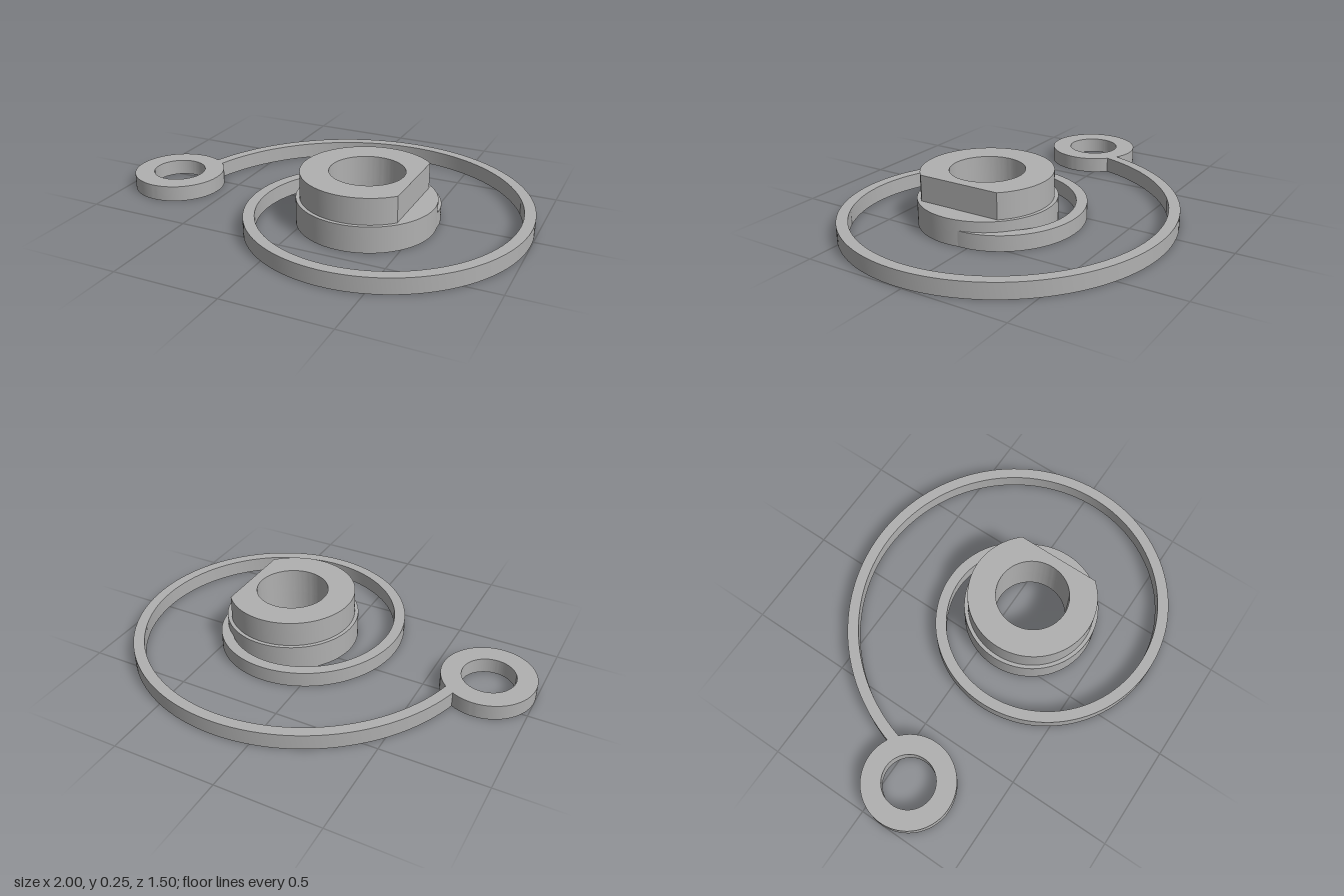
import * as THREE from 'three';
import { toCreasedNormals } from 'three/addons/utils/BufferGeometryUtils.js';

const HUB = { x: 0.25, z: 0.108 };
const ARM_HEIGHT = 0.075;

export function createModel() {
  const model = new THREE.Group();
  model.name = 'spiralSpring';
  const grey = new THREE.MeshStandardMaterial({ color: 0xb0b0b0 });
  grey.name = 'plain grey';

  // Extrudes a plan outline upwards, from height y
  function addPlate(name, shape, height, x, y, z) {
    const geometry = new THREE.ExtrudeGeometry(shape, { depth: height, bevelEnabled: false, curveSegments: 72 });
    geometry.rotateX(-Math.PI / 2);
    const mesh = new THREE.Mesh(toCreasedNormals(geometry, Math.PI / 6), grey);
    mesh.name = name;
    mesh.position.set(x, y, z);
    model.add(mesh);
  }

  // Round plate with a bore; flatAngle cuts a flat on the +x side
  function ringShape(radius, bore, flatAngle = 0) {
    const shape = new THREE.Shape();
    shape.absarc(0, 0, radius, flatAngle, Math.PI * 2 - flatAngle, false);
    shape.closePath();
    shape.holes.push(new THREE.Path().absarc(0, 0, bore, 0, Math.PI * 2, true));
    return shape;
  }

  // Hub: round flange with a flatted boss on top
  addPlate('hubFlange', ringShape(0.326, 0.175), 0.125, HUB.x, 0, HUB.z);
  addPlate('hubBoss', ringShape(0.308, 0.175, Math.acos(0.228 / 0.308)), 0.125, HUB.x, 0.125, HUB.z);

  // Eyelet at the free end
  addPlate('eyelet', ringShape(0.222, 0.127), ARM_HEIGHT, -0.778, 0, HUB.z);

  // Spiral arm, winding evenly outwards from the hub to the eyelet
  const outer = [], inner = [];
  const steps = 180, end = Math.PI * 3 - 0.13, width = 0.053;
  for (let i = 0; i <= steps; i++) {
    const a = (i / steps) * end;
    const r = 0.313 + 0.0687 * a;
    outer.push(new THREE.Vector2(Math.cos(a) * r, Math.sin(a) * r));
    inner.push(new THREE.Vector2(Math.cos(a) * (r - width), Math.sin(a) * (r - width)));
  }
  addPlate('spiralArm', new THREE.Shape([...outer, ...inner.reverse()]), ARM_HEIGHT, HUB.x, 0, HUB.z);

  return model;
}
